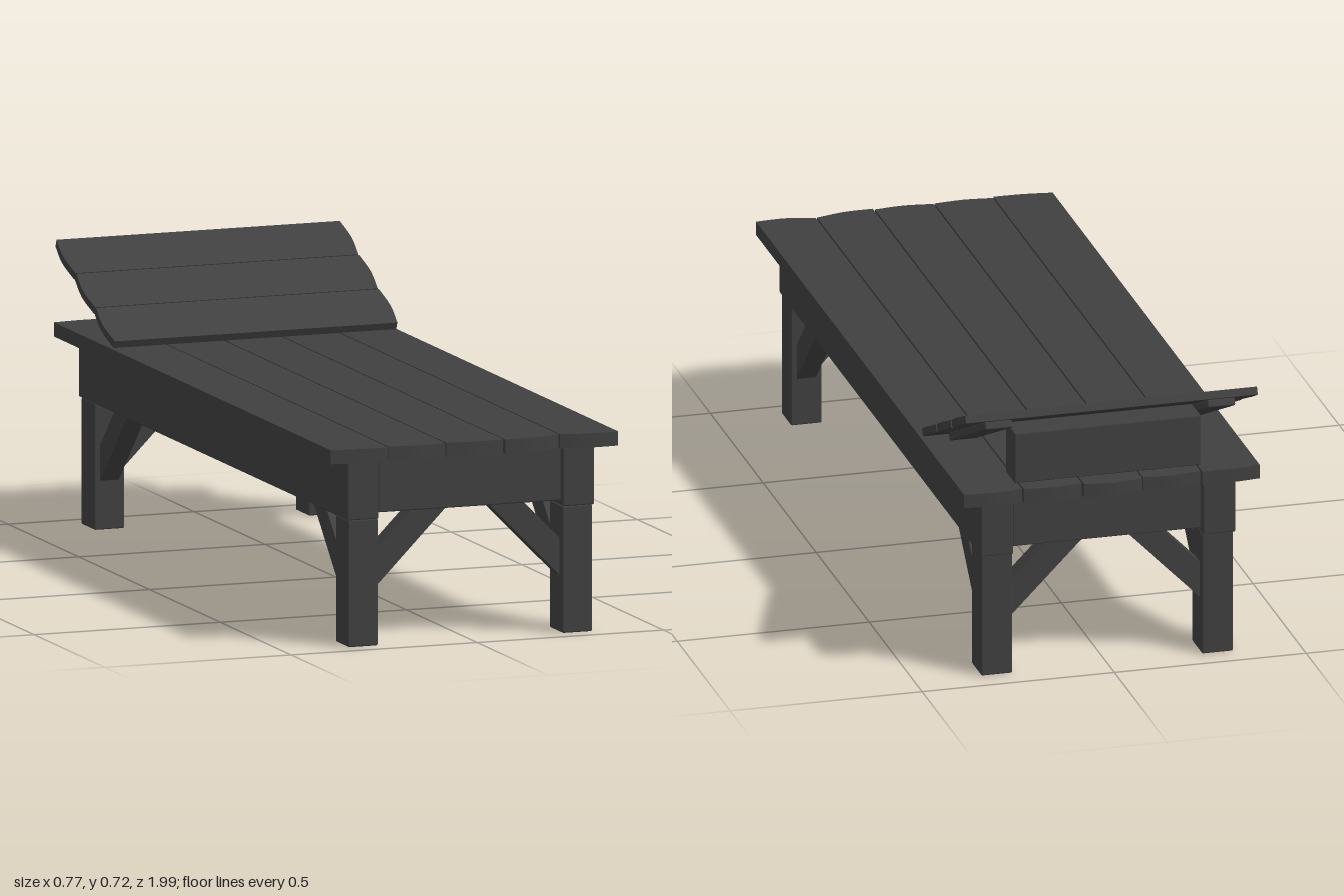
import * as THREE from 'three';
import { RoundedBoxGeometry } from 'three/addons/geometries/RoundedBoxGeometry.js';

const wood = new THREE.MeshStandardMaterial({ color: 0x404040 });

function add(parent, name, geometry) {
  const mesh = new THREE.Mesh(geometry, wood);
  mesh.name = name;
  parent.add(mesh);
  return mesh;
}

// Timber with lightly eased edges, given by its extents
function timber(parent, name, x0, x1, y0, y1, z0, z1) {
  const g = new RoundedBoxGeometry(x1 - x0, y1 - y0, z1 - z0, 1, 0.004);
  g.translate((x0 + x1) / 2, (y0 + y1) / 2, (z0 + z1) / 2);
  return add(parent, name, g);
}

// Plank lying flat along z; each end is a curve through [left, middle, right] z values
function plank(width, thickness, front, back) {
  const h = width / 2;
  const curve = (e) => new THREE.SplineCurve(
    e.map((z, i) => new THREE.Vector2((i - 1) * h, -z))).getPoints(8);
  const shape = new THREE.Shape([...curve(front), ...curve(back).reverse()]);
  const g = new THREE.ExtrudeGeometry(shape, { depth: thickness, bevelEnabled: false });
  return g.rotateX(-Math.PI / 2);
}

// Diagonal brace: profile points run (distance from leg, height)
function braceGeometry(bottom, top, near, far, height) {
  const shape = new THREE.Shape([
    new THREE.Vector2(0, bottom), new THREE.Vector2(far, height),
    new THREE.Vector2(near, height), new THREE.Vector2(0, top),
  ]);
  return new THREE.ExtrudeGeometry(shape, { depth: 0.05, bevelEnabled: false })
    .translate(0, 0, -0.025);
}

export function createModel() {
  const model = new THREE.Group();
  model.name = 'lounger';

  // Side rails and legs
  for (const s of [-1, 1]) {
    const side = s > 0 ? 'left' : 'right';
    const a = s > 0 ? 0.247 : -0.332, b = s > 0 ? 0.332 : -0.247;
    const c = s > 0 ? 0.247 : -0.328, d = s > 0 ? 0.328 : -0.247;
    timber(model, side + 'Rail', a, b, 0.324, 0.475, -0.946, 0.957);
    timber(model, side + 'FrontLeg', c, d, 0, 0.324, 0.861, 0.952);
    timber(model, side + 'BackLeg', c, d, 0, 0.324, -0.936, -0.842);
  }

  // Cross beams between the rails
  for (const z of [-0.888, -0.51, -0.005, 0.5, 0.905]) {
    timber(model, 'crossBeam', -0.245, 0.245, 0.338, 0.475, z - 0.043, z + 0.043);
  }

  // Diagonal braces at each leg, across the width and along the length
  const across = braceGeometry(0.146, 0.24, 0.097, 0.19, 0.338);
  const along = braceGeometry(0.125, 0.217, 0.108, 0.2, 0.325);
  for (const sx of [-1, 1]) {
    for (const [sz, legFace, legMid] of [[1, 0.861, 0.906], [-1, -0.842, -0.889]]) {
      const e = add(model, 'endBrace', across);
      e.position.set(sx * 0.247, 0, legMid);
      e.rotation.y = sx > 0 ? Math.PI : 0;
      const r = add(model, 'sideBrace', along);
      r.position.set(sx * 0.288, 0, legFace);
      r.rotation.y = sz * Math.PI / 2;
    }
  }

  // Bed slats with slightly uneven ends
  const fronts = [[0.978, 0.988, 0.99], [0.982, 0.99, 0.984], [0.982, 0.991, 0.984],
    [0.99, 0.988, 0.968], [0.968, 0.985, 0.982]];
  const backs = [[-0.978, -0.986, -0.984], [-0.98, -0.989, -0.984], [-0.988, -1, -0.99],
    [-0.982, -0.99, -0.982], [-0.98, -0.988, -0.98]];
  fronts.forEach((f, i) => {
    const slat = add(model, 'bedSlat', plank(0.151, 0.036, f, backs[i]));
    slat.position.set((i - 2) * 0.155, 0.475, 0);
  });

  // Tilted backrest: local -z runs up the slope, y = 0 is the underside of its slats
  const backrest = new THREE.Group();
  backrest.name = 'backrest';
  backrest.position.set(0, 0.513, -0.568);
  backrest.rotation.x = 0.43;
  model.add(backrest);
  for (let i = 0; i < 3; i++) {
    const g = plank(0.15, 0.02, [0.379, 0.387, 0.381], [-0.38, -0.387, -0.379]);
    const slat = add(backrest, 'backrestSlat', g);
    slat.rotation.y = Math.PI / 2;
    slat.position.z = -0.076 - i * 0.153;
  }
  for (const s of [-1, 1]) {
    timber(backrest, 'backrestBatten', s * 0.29 - 0.036, s * 0.29 + 0.036, -0.02, 0, -0.43, -0.055);
  }

  // Block propping up the backrest
  timber(model, 'backrestSupport', -0.243, 0.243, 0.511, 0.646, -0.941, -0.857);

  return model;
}
